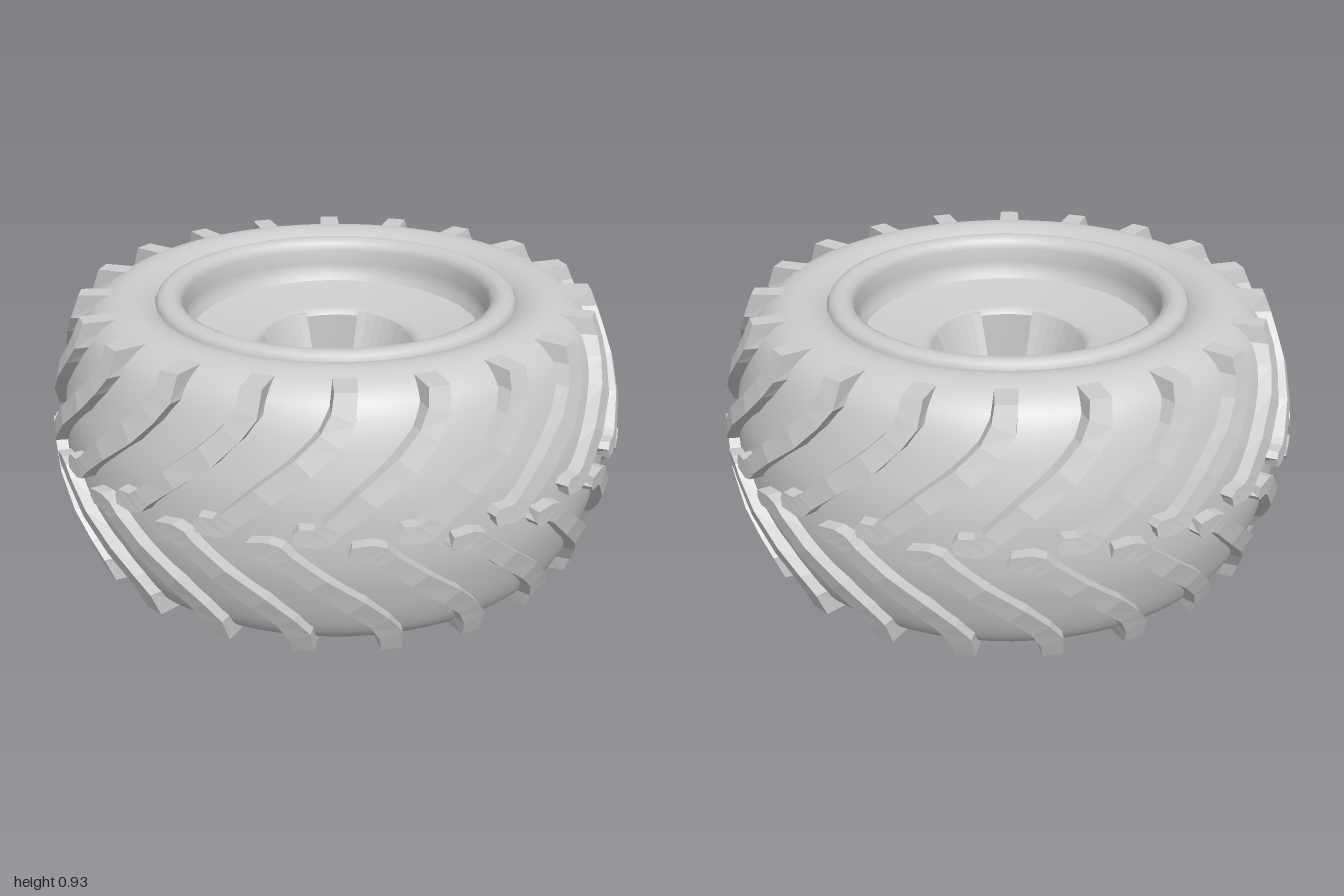
import * as THREE from 'three';

const MID = 0.475, LUGS = 20, DEG = Math.PI / 180;
const material = new THREE.MeshStandardMaterial({ color: 0xcccccc, side: THREE.DoubleSide });
const flat = new THREE.MeshStandardMaterial({ color: 0xcccccc, flatShading: true, side: THREE.DoubleSide });

// Radius against distance from the centre plane: [distance, carcass, lug top]
const TREAD = [
  [0, 0.955, 1.0], [0.12, 0.948, 0.99], [0.23, 0.922, 0.967],
  [0.33, 0.888, 0.93], [0.40, 0.848, 0.904], [0.445, 0.79, 0.885],
];

// Lug edges as [degrees, distance] pairs: trailing edge, then leading edge
const LUG = [
  [-3.2, 0.035, -2.8, 0.002], [-2.2, 0.055, 1, -0.005], [0.6, 0.056, 3.4, 0.008],
  [2, 0.072, 5.2, 0.042], [8, 0.165, 11, 0.122], [15, 0.26, 18, 0.213],
  [19.3, 0.33, 22.8, 0.295], [21.3, 0.39, 25.7, 0.36], [21.8, 0.445, 26.2, 0.445],
];

function treadRadius(v, column) {
  const d = Math.abs(v);
  let i = 1;
  while (i < TREAD.length - 1 && TREAD[i][0] < d) i++;
  const a = TREAD[i - 1], b = TREAD[i];
  return THREE.MathUtils.mapLinear(d, a[0], b[0], a[column], b[column]);
}

function add(parent, name, geometry, mat = material) {
  const mesh = new THREE.Mesh(geometry, mat);
  mesh.name = name;
  parent.add(mesh);
  return mesh;
}

function lathe(points, segments, start = 0, length = Math.PI * 2) {
  return new THREE.LatheGeometry(points.map(([r, y]) => new THREE.Vector2(r, y)), segments, start, length);
}

// Curved tread bar swept through four-cornered sections; side is 1 (upper) or -1 (lower)
function lugGeometry(side) {
  const positions = [], index = [];
  const corner = (deg, v, r) => {
    const a = deg * DEG;
    positions.push(r * Math.sin(a), MID + 0.005 + side * v, r * Math.cos(a));
  };
  const quad = (a, b, c, d) => {
    if (side > 0) index.push(a, b, c, a, c, d);
    else index.push(a, c, b, a, d, c);
  };
  LUG.forEach(([aDeg, aV, bDeg, bV], i) => {
    const root = (v) => treadRadius(v, 1) - 0.03;
    corner(aDeg, aV, treadRadius(aV, 2));
    corner(bDeg, bV, treadRadius(bV, 2));
    corner(bDeg + 0.6, bV, root(bV));
    corner(aDeg - 0.6, aV, root(aV));
    if (i === 0) return;
    const p = (i - 1) * 4, q = i * 4;
    for (let j = 0; j < 4; j++) {
      const k = (j + 1) % 4;
      quad(p + j, p + k, q + k, q + j);
    }
  });
  const e = (LUG.length - 1) * 4;
  quad(0, 3, 2, 1);
  quad(e, e + 1, e + 2, e + 3);
  const geometry = new THREE.BufferGeometry();
  geometry.setAttribute('position', new THREE.Float32BufferAttribute(positions, 3));
  geometry.setIndex(index);
  geometry.computeVertexNormals();
  return geometry;
}

function createTyre() {
  const tyre = new THREE.Group();
  tyre.name = 'tyre';
  // Rounded carcass, mirrored about the centre plane
  const half = [
    ...TREAD.map(([v, r]) => [r, v]),
    [0.73, 0.463], [0.68, 0.459], [0.635, 0.44], [0.6, 0.41],
  ];
  const outline = [...half.slice(1).reverse().map(([r, v]) => [r, -v]), ...half];
  const curve = new THREE.CatmullRomCurve3(outline.map(([r, v]) => new THREE.Vector3(r, MID + v, 0)));
  add(tyre, 'carcass', lathe(curve.getPoints(54).map((p) => [p.x, p.y]), 80));

  // Two staggered rows of chevron lugs
  for (const [name, side, offset] of [['upperLug', 1, -16.5], ['lowerLug', -1, -7]]) {
    const geometry = lugGeometry(side);
    for (let k = 0; k < LUGS; k++) {
      add(tyre, name, geometry, flat).rotation.y = (offset + k * 360 / LUGS) * DEG;
    }
  }
  return tyre;
}

function createRim() {
  const rim = new THREE.Group();
  rim.name = 'rim';
  // Barrel with rolled lips and a step at each end
  const half = [
    [0.49, 0.27], [0.498, 0.305], [0.522, 0.325], [0.528, 0.37], [0.53, 0.42],
    [0.542, 0.446], [0.565, 0.458], [0.59, 0.46], [0.612, 0.452], [0.625, 0.432], [0.625, 0.40],
  ];
  const outline = [...half.map(([r, v]) => [r, MID - v]).reverse(), ...half.map(([r, v]) => [r, MID + v])];
  add(rim, 'barrel', lathe(outline.reverse(), 32));

  // Shallow disc and the four sloping spokes of the sunken hub
  add(rim, 'disc', lathe([[0.27, 0.73], [0.28, 0.745], [0.3, 0.75], [0.47, 0.775], [0.505, 0.785]], 32));
  for (let k = 0; k < 4; k++) {
    const profile = [[0.185, 0.55], [0.28, 0.745], [0.265, 0.745], [0.175, 0.55]];
    add(rim, 'spoke', lathe(profile, 6, (k * 90 - 24) * DEG, 48 * DEG), flat);
  }

  // Mounting plate with centre bore and bolt holes
  const plate = new THREE.Shape().absarc(0, 0, 0.19, 0, Math.PI * 2);
  const hole = (x, y, r) => plate.holes.push(new THREE.Path().absarc(x, y, r, 0, Math.PI * 2, true));
  hole(0, 0, 0.1);
  for (let k = 0; k < 6; k++) hole(0.145 * Math.cos(k * 60 * DEG), 0.145 * Math.sin(k * 60 * DEG), 0.022);
  const plateGeometry = new THREE.ExtrudeGeometry(plate, { depth: 0.03, bevelEnabled: false, curveSegments: 24 });
  plateGeometry.rotateX(-Math.PI / 2).translate(0, 0.53, 0);
  add(rim, 'mountingPlate', plateGeometry);

  // Stiffening ribs around the lower inside of the barrel
  const rib = new THREE.Shape();
  rib.moveTo(0.505, 0.15).lineTo(0.44, 0.15).lineTo(0.46, 0.2).lineTo(0.465, 0.32).lineTo(0.505, 0.34);
  const ribGeometry = new THREE.ExtrudeGeometry(rib, { depth: 0.04, bevelEnabled: false });
  ribGeometry.translate(0, 0, -0.02);
  for (let k = 0; k < 20; k++) {
    add(rim, 'rib', ribGeometry, flat).rotation.y = k * 18 * DEG;
  }
  return rim;
}

export function createModel() {
  const wheel = new THREE.Group();
  wheel.name = 'wheel';
  wheel.add(createTyre(), createRim());
  return wheel;
}
